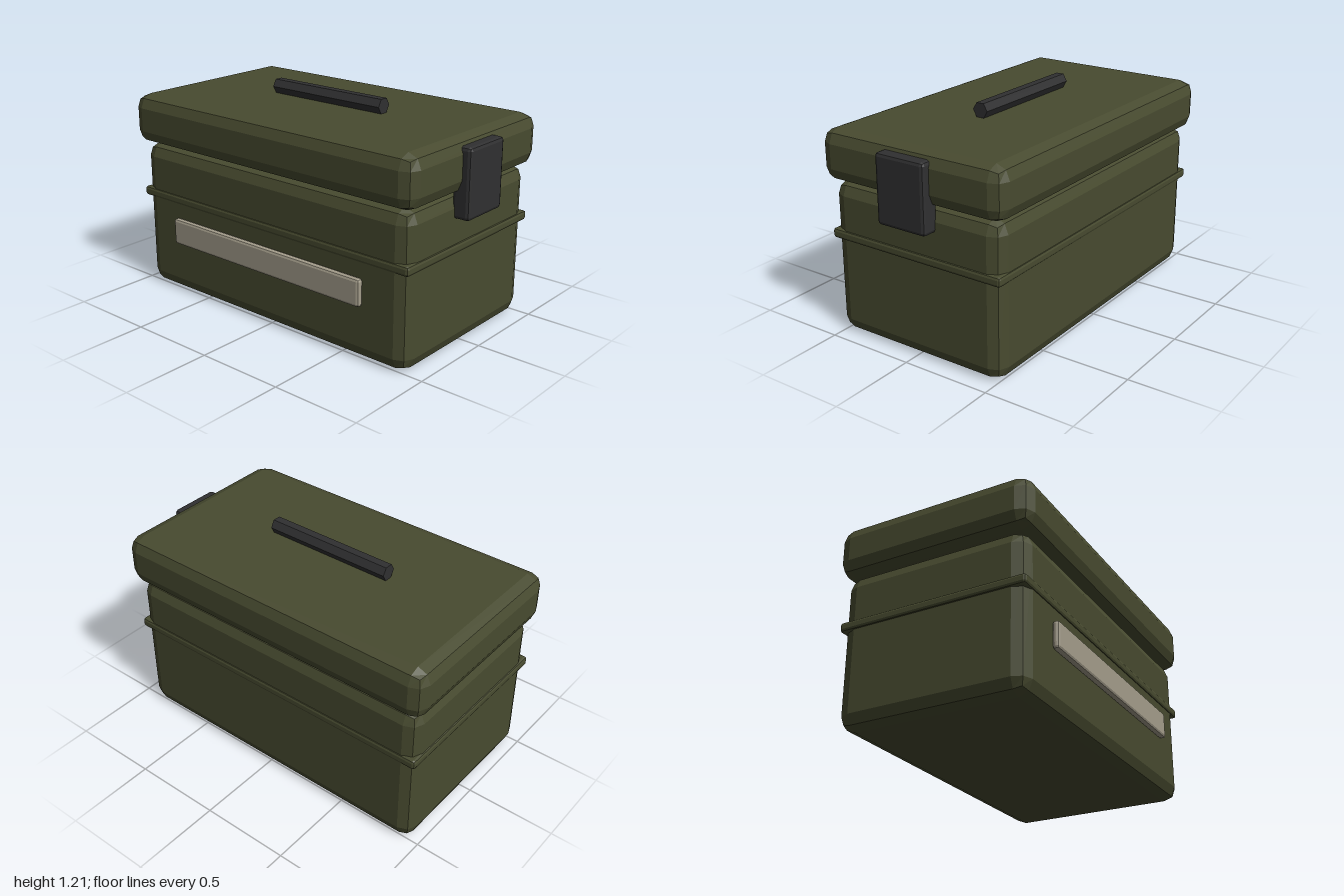
import * as THREE from 'three';
import { RoundedBoxGeometry } from 'three/addons/geometries/RoundedBoxGeometry.js';

export function createModel() {
  const model = new THREE.Group();
  model.name = 'storageCase';

  const paint = (name, color) => {
    const m = new THREE.MeshStandardMaterial({ color });
    m.name = name;
    return m;
  };
  const green = paint('olive green', 0x484b30);
  const black = paint('dark grey', 0x303031);
  const beige = paint('beige', 0xa59e8c);

  // Faceted box with two-step bevels, given by its extents on each axis
  function bevelBox(name, material, [x0, x1], [y0, y1], [z0, z1], bevel) {
    const geometry = new RoundedBoxGeometry(x1 - x0, y1 - y0, z1 - z0, 1, bevel);
    geometry.computeVertexNormals(); // unshared corners give flat facets
    const mesh = new THREE.Mesh(geometry, material);
    mesh.name = name;
    mesh.position.set((x0 + x1) / 2, (y0 + y1) / 2, (z0 + z1) / 2);
    model.add(mesh);
  }

  bevelBox('body', green, [-0.96, 0.917], [0, 0.85], [-0.528, 0.528], 0.075);
  bevelBox('band', green, [-0.97, 0.927], [0.532, 0.585], [-0.536, 0.536], 0.015);
  bevelBox('lid', green, [-1, 0.955], [0.85, 1.133], [-0.565, 0.565], 0.075);
  bevelBox('latch', black, [0.9, 1], [0.72, 1.095], [-0.15, 0.15], 0.019);
  bevelBox('labelPlate', beige, [-0.696, 0.652], [0.305, 0.455], [0.528, 0.566], 0.015);

  // Six-sided bar handle along the lid, flat side up
  const bar = new THREE.CylinderGeometry(0.045, 0.045, 0.753, 6).toNonIndexed();
  bar.computeVertexNormals();
  const handle = new THREE.Mesh(bar, black);
  handle.name = 'handle';
  handle.rotation.z = Math.PI / 2;
  handle.position.set(-0.022, 1.172, 0);
  model.add(handle);

  return model;
}
